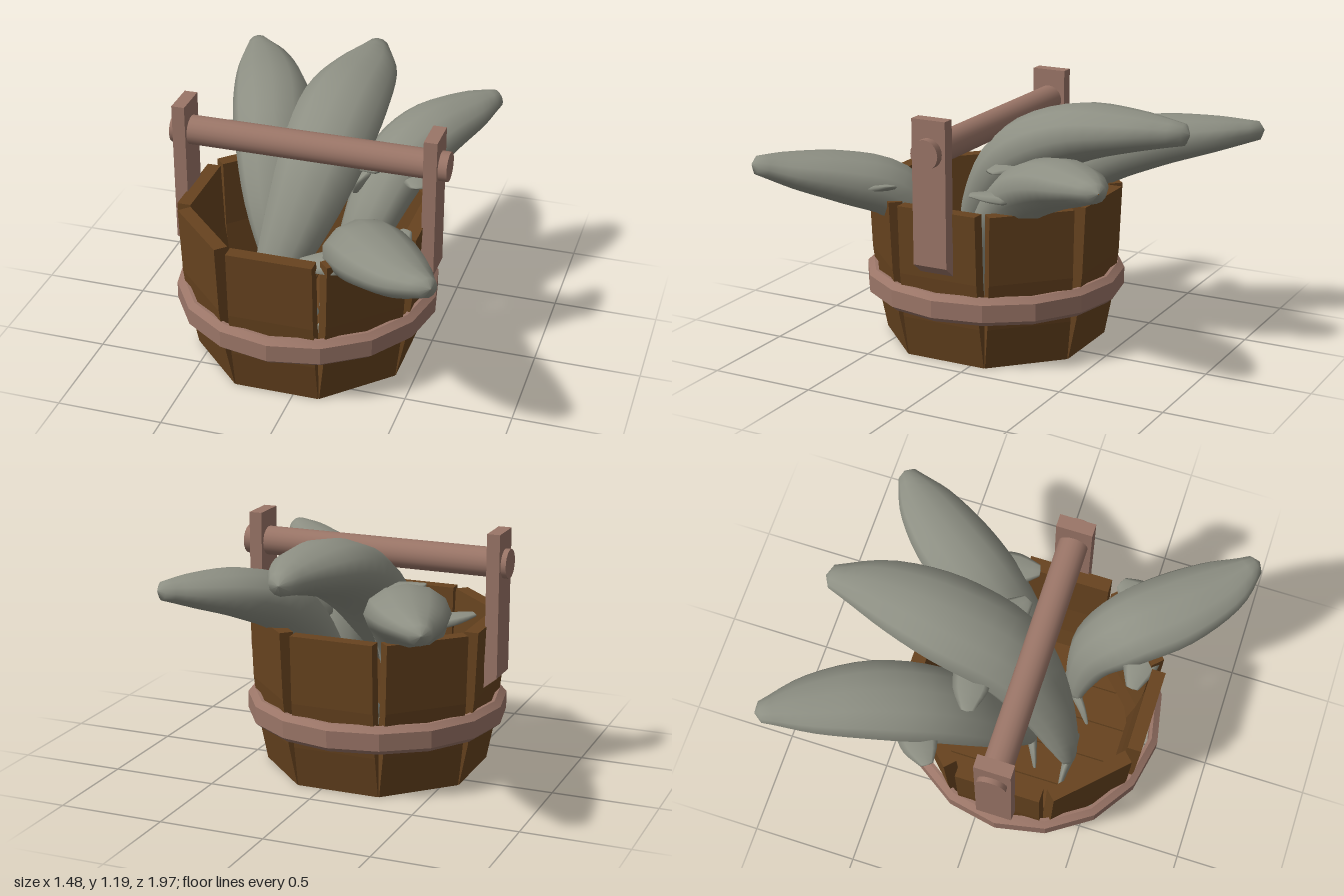
import * as THREE from 'three';
import { toCreasedNormals } from 'three/addons/utils/BufferGeometryUtils.js';

const V = (x, y, z) => new THREE.Vector3(x, y, z);
const material = (name, color) => Object.assign(new THREE.MeshStandardMaterial({ color }), { name });

// Oval loft along a path of vectors; sizes are [halfWidth, halfThickness]; side is the width direction.
function loft(points, sizes, side, steps = 6, sides = 8) {
  const path = new THREE.CatmullRomCurve3(points, false, 'catmullrom');
  const size = new THREE.CatmullRomCurve3(sizes.map(s => V(s[0], s[1], 0)), false, 'catmullrom');
  const pos = [], index = [];
  const ring = (center, T, w, t) => {
    const W = side.clone().addScaledVector(T, -side.dot(T)).normalize();
    const N = T.clone().cross(W);
    for (let j = 0; j < sides; j++) {
      const a = j / sides * Math.PI * 2;
      const p = center.clone().addScaledVector(W, w * Math.cos(a)).addScaledVector(N, t * Math.sin(a));
      pos.push(p.x, p.y, p.z);
    }
  };
  for (let i = 0; i <= steps; i++) {
    const u = i / steps, P = path.getPoint(u), S = size.getPoint(u);
    const T = path.getPoint(Math.min(1, u + 0.01)).sub(path.getPoint(Math.max(0, u - 0.01))).normalize();
    if (i === 0) ring(P.clone().addScaledVector(T, -S.y * 0.5), T, S.x * 0.05, S.y * 0.05);
    ring(P, T, S.x, S.y);
    if (i === steps) ring(P.clone().addScaledVector(T, S.y * 0.5), T, S.x * 0.05, S.y * 0.05);
  }
  for (let i = 0; i < steps + 2; i++) for (let j = 0; j < sides; j++) {
    const a = i * sides + j, b = i * sides + (j + 1) % sides;
    index.push(a, b, a + sides, b, b + sides, a + sides);
  }
  const g = new THREE.BufferGeometry();
  g.setAttribute('position', new THREE.Float32BufferAttribute(pos, 3));
  g.setIndex(index);
  g.computeVertexNormals();
  return g;
}

// Extrude an outline, centred on its depth
function slab(outline, depth) {
  const shape = new THREE.Shape(outline.map(p => new THREE.Vector2(p[0], p[1])));
  return new THREE.ExtrudeGeometry(shape, { depth, bevelEnabled: false }).translate(0, 0, -depth / 2);
}

// Shared girth from snout to tail
const GIRTH = [[0.05, 0.045], [0.14, 0.086], [0.19, 0.125], [0.185, 0.137], [0.145, 0.112], [0.09, 0.07], [0.05, 0.03]];

// Each spine runs from snout to tail; finTips are the ends of the two side fins
const FISH = [
  { scale: 1, finTips: [[-0.67, 0.87, -0.19], [-0.18, 0.78, -0.08]],
    spine: [[-0.7, 0.985, -0.96], [-0.59, 0.97, -0.76], [-0.47, 0.93, -0.5], [-0.38, 0.83, -0.25],
      [-0.3, 0.62, -0.03], [-0.22, 0.36, 0.1], [-0.18, 0.2, 0.15]] },
  { scale: 1.13, finTips: [[-0.4, 0.95, -0.09], [0.22, 0.88, 0]],
    spine: [[-0.03, 1.1, -0.85], [-0.02, 1.09, -0.6], [-0.04, 1.04, -0.3], [-0.06, 0.9, -0.02],
      [-0.12, 0.66, 0.17], [-0.2, 0.4, 0.3], [-0.24, 0.22, 0.36]] },
  { scale: 0.95, finTips: [[0.4, 0.82, 0], [0.1, 0.77, 0]],
    spine: [[0.61, 0.975, -0.72], [0.5, 0.955, -0.59], [0.36, 0.91, -0.4], [0.25, 0.81, -0.2],
      [0.17, 0.6, -0.02], [0.09, 0.36, 0.06], [0.06, 0.2, 0.1]] },
  { scale: 0.97, finTips: [[0.46, 0.82, 0.38], [0.02, 0.69, 0.57]],
    spine: [[0.7, 0.91, 0.95], [0.57, 0.87, 0.84], [0.41, 0.82, 0.66], [0.28, 0.75, 0.48],
      [0.2, 0.58, 0.35], [0.13, 0.36, 0.3], [0.09, 0.2, 0.29]] },
];

export function createModel() {
  const wood = material('dark wood', 0x67431f);
  const trim = material('reddish wood', 0x9a7567);
  const skin = material('fish grey', 0x8d8f83);
  const model = new THREE.Group();
  model.name = 'bucketOfFish';
  const bucket = new THREE.Group();
  bucket.name = 'bucket';
  bucket.position.set(-0.08, 0, 0.13);
  model.add(bucket);
  const add = (parent, name, geometry, mat) => {
    const mesh = new THREE.Mesh(geometry, mat);
    mesh.name = name;
    parent.add(mesh);
    return mesh;
  };

  // Eight bulging staves
  const stave = slab([[0.425, 0], [0.49, 0], [0.53, 0.2], [0.557, 0.42], [0.57, 0.745],
    [0.505, 0.745], [0.492, 0.42], [0.465, 0.2]], 0.4);
  for (let i = 0; i < 8; i++) add(bucket, 'stave', stave, wood).rotation.y = i * Math.PI / 4;

  // Floor planks running front to back, cut to the octagon
  const reach = x => Math.min(0.46, 0.65 - Math.abs(x));
  for (let i = 0; i < 5; i++) {
    const a = -0.45 + i * 0.18 + 0.003, b = a + 0.174;
    const plank = slab([[a, -reach(a)], [b, -reach(b)], [b, reach(b)], [a, reach(a)]], 0.04);
    add(bucket, 'floorPlank', plank.rotateX(Math.PI / 2).translate(0, 0.05, 0), wood);
  }

  // Sixteen-sided hoop with chamfered edges
  const hoop = [[0.575, 0.23], [0.59, 0.23], [0.62, 0.255], [0.62, 0.337], [0.59, 0.362], [0.575, 0.362], [0.575, 0.23]];
  add(bucket, 'hoop', toCreasedNormals(
    new THREE.LatheGeometry(hoop.map(p => new THREE.Vector2(p[0], p[1])), 16), 0.3), trim);

  // Handle posts with a slanted foot, and the round bar through them
  const post = slab([[0.563, 0.45], [0.625, 0.5], [0.625, 1.18], [0.563, 1.18]], 0.17);
  for (const turn of [0, Math.PI]) add(bucket, 'handlePost', post, trim).rotation.y = turn;
  const bar = new THREE.CylinderGeometry(0.069, 0.069, 1.315, 20).rotateZ(Math.PI / 2);
  add(bucket, 'handleBar', toCreasedNormals(bar, 0.7), trim).position.set(0.008, 1.03, 0);

  // Fish leaning out over the rim
  for (const { scale, spine, finTips } of FISH) {
    const fish = new THREE.Group();
    fish.name = 'fish';
    model.add(fish);
    const points = spine.map(p => V(...p));
    const [snout, chest, tail] = [points[0], points[3], points[6]];
    const heading = snout.clone().sub(chest).setY(0).normalize();
    const side = V(0, 1, 0).cross(heading);
    add(fish, 'fishBody', loft(points, GIRTH.map(([w, t]) => [w * scale, t * scale]), side, 24, 12), skin);

    // Side fins sweeping back from the chest
    for (const end of finTips) {
      const tip = V(...end);
      const root = chest.clone().lerp(tip, 0.4).addScaledVector(heading, 0.08);
      add(fish, 'sideFin', loft([root, root.clone().lerp(tip, 0.5), tip],
        [[0.09, 0.025], [0.08, 0.02], [0.03, 0.008]], heading), skin);
    }

    // Tail flukes
    for (const s of [-1, 1]) {
      const at = (out, drop) => tail.clone().addScaledVector(side, s * out).add(V(0, -drop, 0));
      add(fish, 'tailFluke', loft([at(-0.01, 0), at(0.07, 0.04), at(0.14, 0.1)],
        [[0.05, 0.03], [0.055, 0.018], [0.02, 0.008]], V(0, 1, 0)), skin);
    }
  }
  return model;
}
